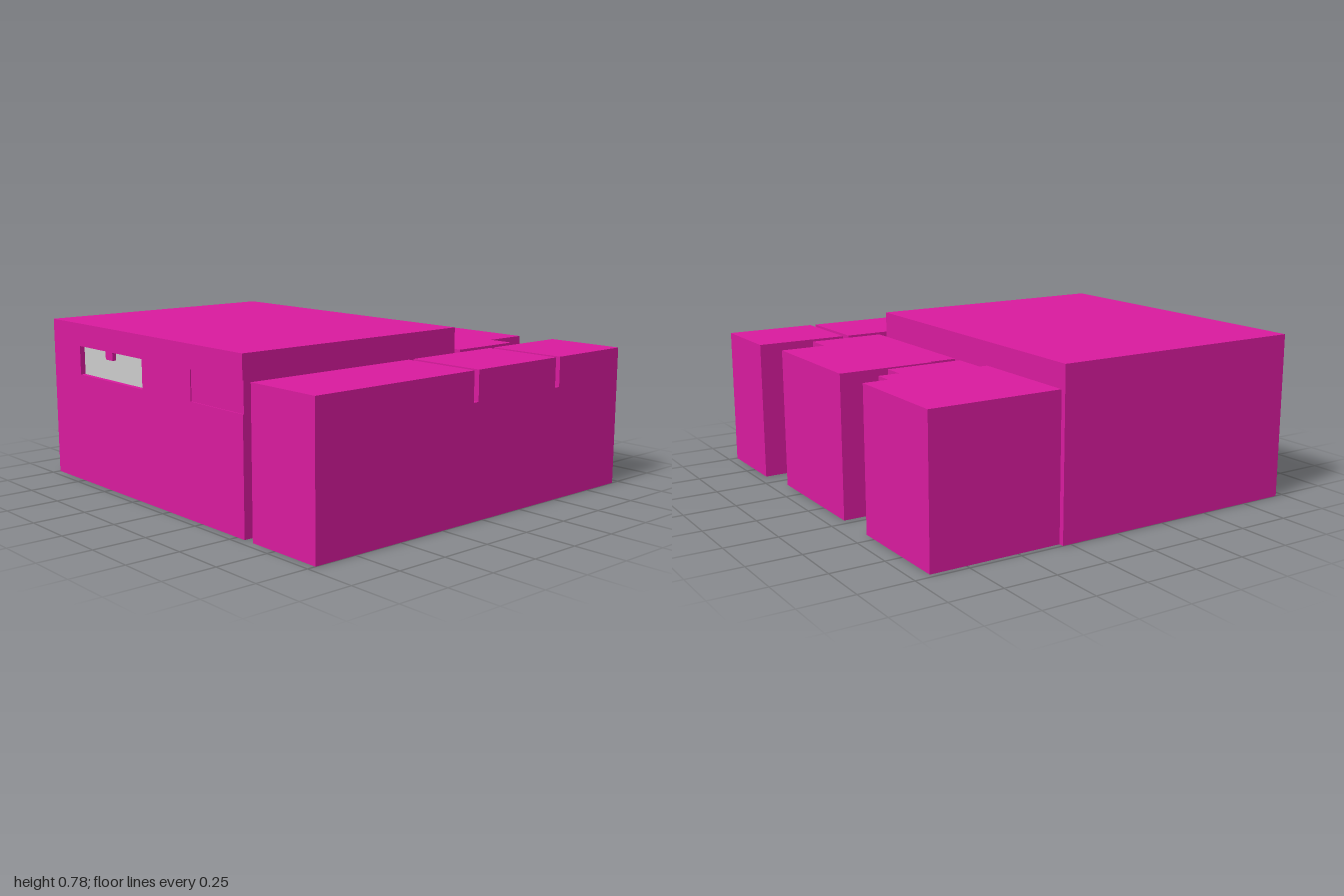
import * as THREE from 'three';

export function createModel() {
  const model = new THREE.Group();
  model.name = 'blockBuilding';
  const pink = new THREE.MeshStandardMaterial({ color: 0xd91b9e });
  const grey = new THREE.MeshStandardMaterial({ color: 0xcccccc });
  // box sides: +x, -x, top, bottom, +z, -z; the underside is grey
  const grounded = [pink, pink, pink, grey, pink, pink];

  const H = 0.67;     // roof of the low rooms
  const DOOR = 0.53;  // roof of the passages between rooms
  const TALL = 0.78;  // roof of the main hall

  function block(name, [x0, x1], [z0, z1], y1, y0 = 0, material = y0 === 0 ? grounded : pink) {
    const mesh = new THREE.Mesh(new THREE.BoxGeometry(x1 - x0, y1 - y0, z1 - z0), material);
    mesh.position.set((x0 + x1) / 2, (y0 + y1) / 2, (z0 + z1) / 2);
    mesh.name = name;
    model.add(mesh);
  }

  // Main hall, with a thin side wall holding two high openings
  const wall = [-0.96, -0.93];
  block('mainHall', [-0.93, 0.29], [-1, 0.55], TALL);
  block('sideWallBase', wall, [-1, 0.55], DOOR);
  block('sideWallTop', wall, [-1, 0.55], TALL, H);
  block('sideWallPier', wall, [-1, -0.75], H, DOOR);
  block('sideWallPier', wall, [-0.2, 0.18], H, DOOR);
  block('windowPane', [-0.935, -0.929], [-0.75, -0.2], H, DOOR, grey);
  block('windowFrontInfill', [-0.955, -0.93], [0.18, 0.55], H, DOOR);
  block('windowBracket', [-0.955, -0.93], [-0.52, -0.46], H, 0.63);

  // Stepped back room
  block('backRoom', [0.29, 0.92], [-0.975, -0.43], H);
  block('backRoomCorner', [0.29, 0.33], [-0.43, -0.41], H);
  block('backRoomStep', [0.33, 0.8], [-0.43, -0.34], H);
  block('backRoomStep', [0.33, 0.7], [-0.34, -0.24], H);

  // Middle room
  block('middleRoom', [0.33, 0.92], [-0.2, 0.42], H);
  block('middleRoomEdge', [0.46, 0.92], [-0.21, -0.2], H);
  block('middleRoomStep', [0.33, 0.7], [0.42, 0.55], H);

  // Front row of rooms
  for (const span of [[-0.96, -0.07], [-0.04, 0.48], [0.51, 0.955]]) {
    block('frontRoom', span, [0.605, 1], H);
  }

  // Lower passages bridging the gaps
  block('passage', [-0.07, -0.04], [0.83, 1], DOOR);
  block('passage', [0.48, 0.51], [0.83, 1], DOOR);
  block('passage', [-0.51, -0.2], [0.55, 0.605], DOOR);
  block('passage', [0.29, 0.33], [0.31, 0.55], DOOR);
  block('passage', [0.46, 0.7], [-0.24, -0.21], DOOR);

  return model;
}
